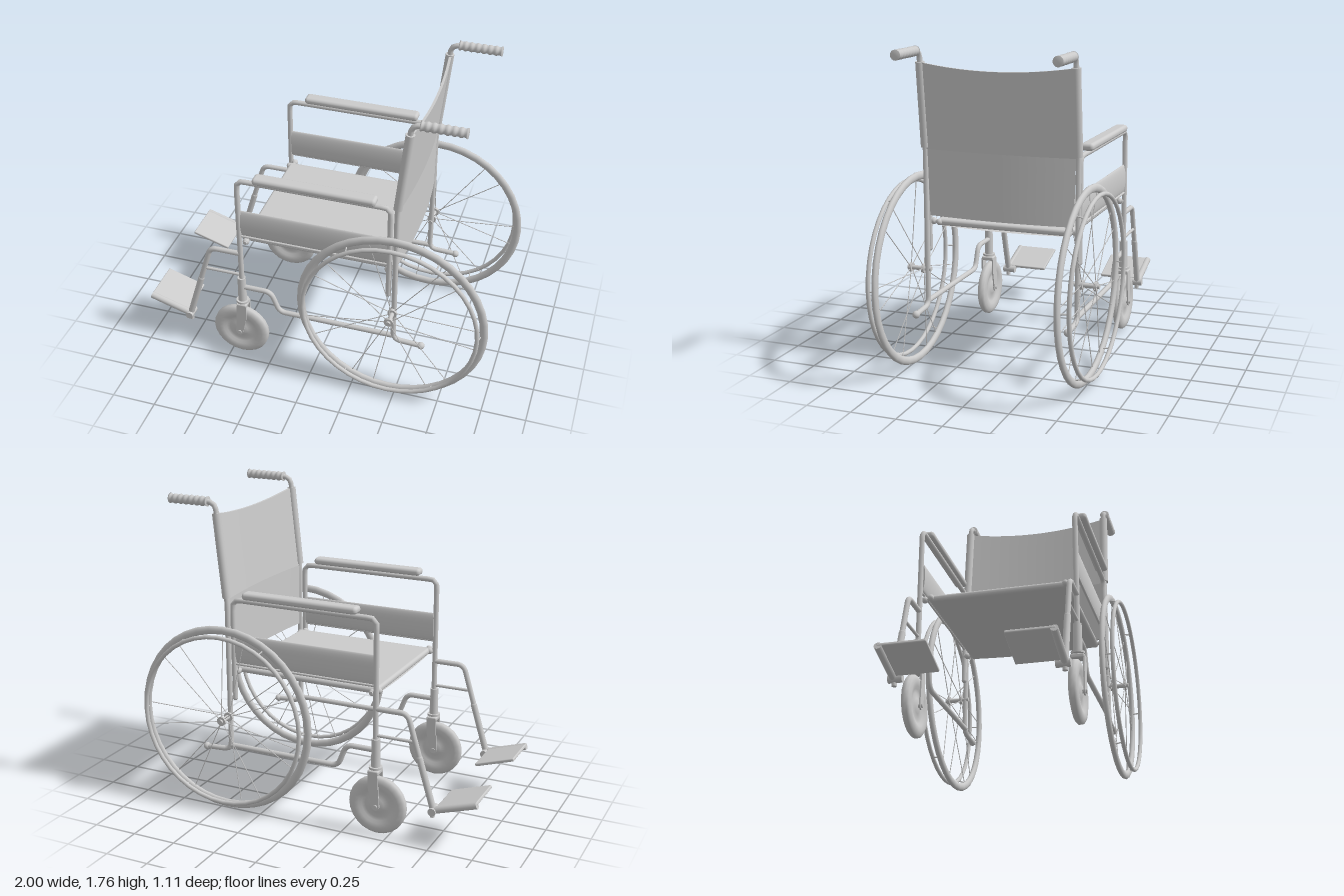
import * as THREE from 'three';
import { RoundedBoxGeometry } from 'three/addons/geometries/RoundedBoxGeometry.js';

const mat = new THREE.MeshStandardMaterial({ color: 0xcccccc });
const cloth = new THREE.MeshStandardMaterial({ color: 0xcccccc, side: THREE.DoubleSide });
const V = (x, y, z) => new THREE.Vector3(x, y, z);

function add(parent, name, geo, x = 0, y = 0, z = 0, material = mat) {
  const m = new THREE.Mesh(geo, material);
  m.name = name;
  m.position.set(x, y, z);
  parent.add(m);
  return m;
}

// Bent tube through [x, y] points at depth z, with filleted corners and closed ends
function pipe(parent, name, pts, z, r, fillet = 0.04) {
  const p = pts.map(([x, y]) => V(x, y, z));
  const path = new THREE.CurvePath();
  let from = p[0];
  for (let i = 1; i < p.length - 1; i++) {
    const back = p[i - 1].clone().sub(p[i]), fwd = p[i + 1].clone().sub(p[i]);
    const f = Math.min(fillet, back.length() * 0.49, fwd.length() * 0.49);
    const a = p[i].clone().add(back.setLength(f)), b = p[i].clone().add(fwd.setLength(f));
    path.add(new THREE.LineCurve3(from, a));
    path.add(new THREE.QuadraticBezierCurve3(a, p[i], b));
    from = b;
  }
  path.add(new THREE.LineCurve3(from, p[p.length - 1]));
  add(parent, name, new THREE.TubeGeometry(path, p.length > 2 ? 64 : 1, r, 10));
  for (const e of [p[0], p[p.length - 1]]) add(parent, name + 'End', new THREE.SphereGeometry(r, 10, 6), e.x, e.y, e.z);
}

// Straight rod between two points
function rod(parent, name, a, b, r, sides = 12) {
  const d = b.clone().sub(a);
  const m = add(parent, name, new THREE.CylinderGeometry(r, r, d.length(), sides));
  m.position.copy(a).add(b).multiplyScalar(0.5);
  m.quaternion.setFromUnitVectors(V(0, 1, 0), d.normalize());
}

// Grid sheet: f(u, v) gives the point
function sheet(nu, nv, f) {
  const g = new THREE.PlaneGeometry(1, 1, nu, nv), pos = g.attributes.position;
  for (let i = 0; i < pos.count; i++) {
    const q = f(pos.getX(i) + 0.5, pos.getY(i) + 0.5);
    pos.setXYZ(i, q.x, q.y, q.z);
  }
  g.computeVertexNormals();
  return g;
}

function driveWheel(s) {
  const g = new THREE.Group();
  g.name = 'driveWheel';
  g.position.set(0.463, 0.54, 0);
  const tyre = add(g, 'tyre', new THREE.TorusGeometry(0.512, 0.023, 12, 40), 0, 0, s * 0.49);
  tyre.scale.z = 0.7;
  add(g, 'handRim', new THREE.TorusGeometry(0.486, 0.012, 10, 40), 0, 0, s * 0.543);
  rod(g, 'axle', V(0, 0, s * 0.41), V(0, 0, s * 0.55), 0.013);
  for (const z of [0.455, 0.53]) rod(g, 'hubFlange', V(0, 0, s * (z - 0.008)), V(0, 0, s * (z + 0.008)), 0.026, 16);
  // Spokes alternate between the hub flanges and the two rims
  for (let i = 0; i < 14; i++) {
    const a = (i + 0.3) / 14 * Math.PI * 2, b = a + (i % 2 ? 0.09 : -0.09);
    const hub = V(Math.cos(a) * 0.02, Math.sin(a) * 0.02, s * (i % 2 ? 0.53 : 0.455));
    rod(g, 'spoke', hub, V(Math.cos(b) * 0.495, Math.sin(b) * 0.495, s * 0.49), 0.0025, 5);
  }
  // Short pegs carry the hand rim
  for (let i = 0; i < 6; i++) {
    const a = i / 6 * Math.PI * 2, c = Math.cos(a), n = Math.sin(a);
    rod(g, 'rimPeg', V(c * 0.5, n * 0.5, s * 0.49), V(c * 0.486, n * 0.486, s * 0.543), 0.004, 6);
  }
  return g;
}

function caster(s) {
  const g = new THREE.Group();
  g.name = 'caster';
  g.position.z = s * 0.43;
  const half = [[0.03, 0.022], [0.04, 0.014], [0.07, 0.01], [0.09, 0.013], [0.105, 0.022], [0.13, 0.026], [0.152, 0.021], [0.165, 0.01]];
  const prof = [[0, 0.022], ...half, ...half.slice().reverse().map(([r, h]) => [r, -h]), [0, -0.022]];
  const wheel = add(g, 'casterWheel', new THREE.LatheGeometry(prof.reverse().map(([r, h]) => new THREE.Vector2(r, h)), 24), -0.437, 0.178, 0);
  wheel.rotation.x = Math.PI / 2;
  // Fork blades, crown, stem housing and axle
  const blade = new THREE.Shape();
  blade.moveTo(-0.447, 0.37).lineTo(-0.39, 0.37).lineTo(-0.393, 0.28).lineTo(-0.415, 0.18);
  blade.absarc(-0.437, 0.178, 0.022, 0, -Math.PI, true).lineTo(-0.452, 0.28);
  for (const z of [-0.038, 0.03]) add(g, 'forkBlade', new THREE.ExtrudeGeometry(blade, { depth: 0.008, bevelEnabled: false }), 0, 0, z);
  add(g, 'forkCrown', new RoundedBoxGeometry(0.062, 0.025, 0.076, 2, 0.008), -0.42, 0.37, 0);
  add(g, 'stemCollar', new THREE.CylinderGeometry(0.037, 0.037, 0.012, 20), -0.422, 0.392, 0);
  add(g, 'stemHousing', new THREE.CylinderGeometry(0.023, 0.025, 0.16, 16), -0.422, 0.475, 0);
  rod(g, 'casterAxle', V(-0.437, 0.178, -0.045), V(-0.437, 0.178, 0.045), 0.012);
  return g;
}

function legRest(s) {
  const g = new THREE.Group(), z = s * 0.43;
  g.name = 'legRest';
  pipe(g, 'legTube', [[-0.42, 0.725], [-0.6, 0.725], [-0.755, 0.21]], z, 0.015);
  pipe(g, 'legBrace', [[-0.42, 0.575], [-0.635, 0.575]], z, 0.009);
  pipe(g, 'legSleeve', [[-0.67, 0.49], [-0.75, 0.225]], z, 0.018);
  rod(g, 'footPivot', V(-0.755, 0.208, s * 0.385), V(-0.755, 0.208, s * 0.46), 0.022);
  rod(g, 'footBolt', V(-0.75, 0.17, z), V(-0.75, 0.24, z), 0.013);
  // Hinge tube along the outer edge and a tilted plate
  rod(g, 'footplateHinge', V(-0.995, 0.287, s * 0.432), V(-0.76, 0.212, s * 0.432), 0.02);
  const plate = add(g, 'footplate', new RoundedBoxGeometry(0.236, 0.018, 0.25, 2, 0.006), -0.882, 0.258, s * 0.315);
  plate.rotation.z = -0.315;
  return g;
}

function sideFrame(s) {
  const g = new THREE.Group(), z = s * 0.43;
  g.name = s > 0 ? 'leftSide' : 'rightSide';
  pipe(g, 'armFrame', [[-0.42, 0.45], [-0.42, 1.215], [0.43, 1.215], [0.43, 0.65]], z, 0.015);
  pipe(g, 'backPost', [[0.63, 0.327], [0.465, 0.335], [0.465, 1.2], [0.521, 1.735], [0.6, 1.74]], z, 0.015, 0.045);
  pipe(g, 'lowerRail', [[-0.42, 0.49], [-0.25, 0.49], [-0.2, 0.36], [0.465, 0.36]], z, 0.015);
  add(g, 'tipStop', new THREE.SphereGeometry(0.021, 12, 8), 0.625, 0.327, z);
  pipe(g, 'sidePanelRail', [[-0.42, 0.85], [0.43, 0.85]], z, 0.007);
  // Padded side panel with a bulging section
  const panel = add(g, 'sidePanel', new THREE.CylinderGeometry(1, 1, 0.83, 24), 0.005, 0.935, s * 0.424);
  panel.rotation.z = Math.PI / 2;
  panel.scale.set(0.083, 1, 0.015);
  add(g, 'armPad', new RoundedBoxGeometry(0.675, 0.04, 0.074, 4, 0.018), 0.018, 1.25, s * 0.436);
  // Sleeve of the backrest around the post
  rod(g, 'backSleeve', V(0.467, 1.22, z), V(0.515, 1.68, z), 0.024, 16);
  // Ribbed hand grip along x
  const prof = [new THREE.Vector2(0, 0)];
  for (let i = 0; i <= 32; i++) prof.push(new THREE.Vector2(0.025 + 0.003 * Math.cos(i / 32 * Math.PI * 14), i / 32 * 0.235));
  prof.push(new THREE.Vector2(0, 0.235));
  add(g, 'handGrip', new THREE.LatheGeometry(prof, 16), 0.8, 1.74, z).rotation.z = Math.PI / 2;
  // Seat rail with brackets to the frame
  pipe(g, 'seatRail', [[-0.41, 0.803], [0.435, 0.803]], s * 0.37, 0.018);
  for (const x of [-0.39, 0.42]) {
    rod(g, 'seatBracket', V(x, 0.803, s * 0.37), V(x, 0.803, s * 0.43), 0.011);
    add(g, 'seatKnob', new THREE.SphereGeometry(0.019, 12, 8), x, 0.803, s * 0.41);
  }
  g.add(driveWheel(s), caster(s), legRest(s));
  return g;
}

export function createModel() {
  const group = new THREE.Group();
  for (const s of [1, -1]) group.add(sideFrame(s));

  // Seat sling: rounded slab wrapped over the rails, sagging slightly
  const seat = new RoundedBoxGeometry(0.85, 0.036, 0.77, 4, 0.016);
  add(group, 'seat', seat, 0.015, 0.802, 0);
  add(group, 'seatUnderside', sheet(1, 16, (u, v) => {
    const t = 2 * v - 1;
    return V(-0.405 + 0.84 * u, 0.786 - 0.01 * (1 - t * t), t * 0.375);
  }), 0, 0, 0, cloth);

  // Backrest: wide leaning upper part and narrower upright lower part
  const backX = y => 0.467 + Math.max(0, y - 1.21) * 0.107;
  const panel = (y0, y1, w0, w1, sag, off) => sheet(20, 6, (u, v) => {
    const t = 2 * u - 1, bow = 1 - t * t;
    const y = y0 + (y1 - sag * bow - y0) * v;
    return V(backX(y) + off + 0.028 * bow, y, t * (w0 + (w1 - w0) * v));
  });
  for (const off of [-0.007, 0.007]) {
    add(group, 'backrestUpper', panel(1.21, 1.68, 0.435, 0.44, 0.035, off), 0, 0, 0, cloth);
    add(group, 'backrestLower', panel(0.847, 1.21, 0.405, 0.415, 0, off), 0, 0, 0, cloth);
  }
  // Hems closing the top and bottom edges
  const hem = (y, sag, w) => sheet(20, 1, (u, v) => {
    const t = 2 * u - 1, b = 1 - t * t, h = y - sag * b;
    return V(backX(h) + 0.028 * b + (v - 0.5) * 0.014, h, t * w);
  });
  add(group, 'topHem', hem(1.68, 0.035, 0.44), 0, 0, 0, cloth);
  add(group, 'bottomHem', hem(0.847, 0, 0.405), 0, 0, 0, cloth);
  return group;
}
